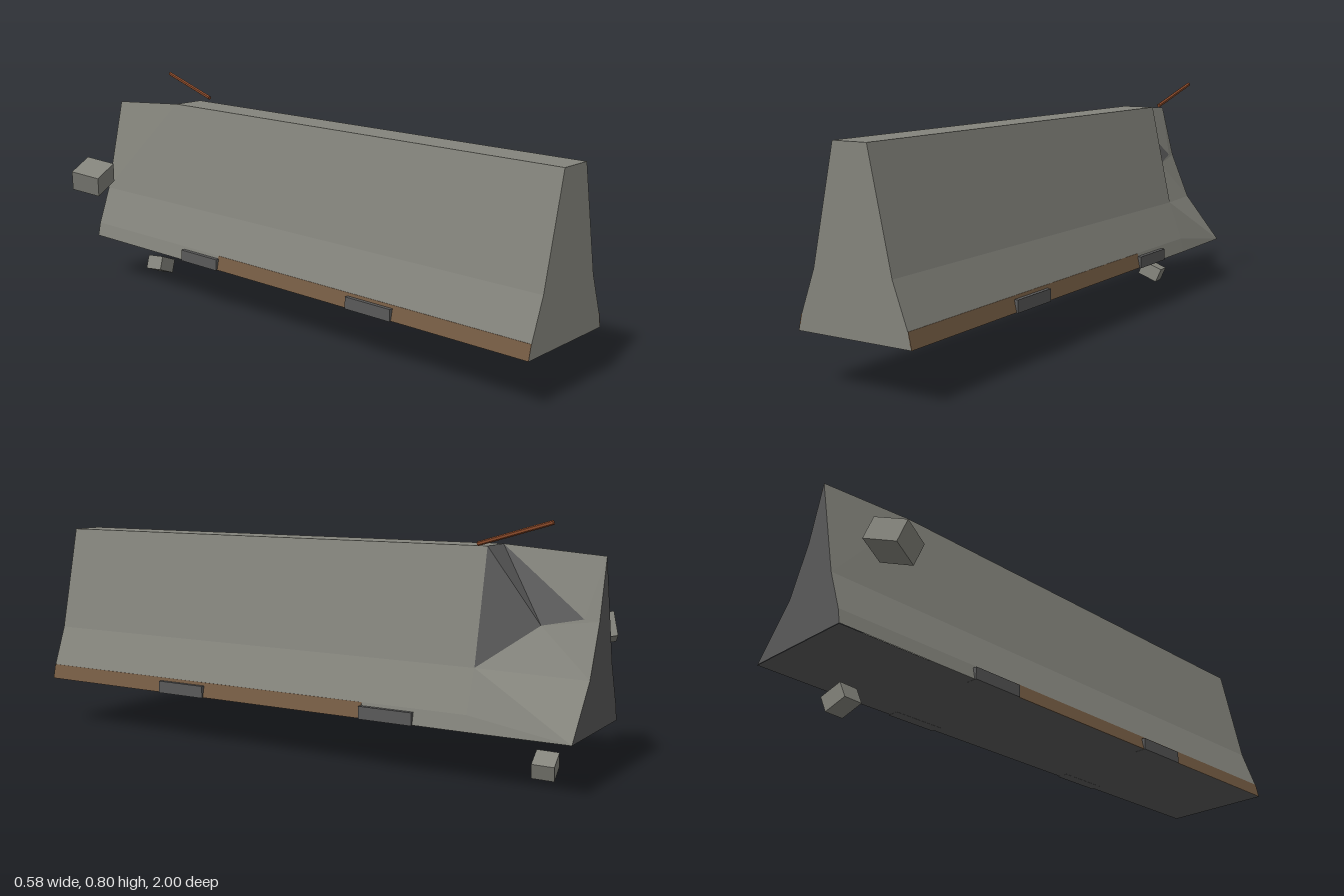
import * as THREE from 'three';

const mat = (name, color) => Object.assign(new THREE.MeshStandardMaterial({ color, flatShading: true }), { name });
const V = (...p) => new THREE.Vector3(...p);

// Flat-shaded surface from triangles of named corners
function facets(corners, triangles) {
  const points = triangles.flatMap((t) => t.split(' ').map((k) => V(...corners[k])));
  const geo = new THREE.BufferGeometry().setFromPoints(points);
  geo.computeVertexNormals();
  return geo;
}

function prism(points, z0, z1) {
  const shape = new THREE.Shape(points.map(([x, y]) => new THREE.Vector2(x, y)));
  return new THREE.ExtrudeGeometry(shape, { depth: z1 - z0, bevelEnabled: false }).translate(0, 0, z0);
}

export function createModel() {
  const group = new THREE.Group();
  const concrete = mat('concrete', 0x84847c);
  const darkGrey = mat('dark grey', 0x5a5a5a);
  const stain = mat('brown stain', 0x755c44);
  const rust = mat('rust', 0x8a4a2a);
  const add = (name, geo, material) => {
    const mesh = new THREE.Mesh(geo, material);
    mesh.name = name;
    group.add(mesh);
    return mesh;
  };

  // Intact length of the barrier
  const cx = 0.081, breakZ = -0.67;
  const half = [[0.2, 0.17], [0.189, 0.22], [0.139, 0.355], [0.06, 0.715]];
  const profile = [
    ...half.map(([x, y]) => [cx + x, y]),
    ...half.map(([x, y]) => [cx - x, y]).reverse(),
  ];
  add('barrierBody', prism(profile, breakZ, 1), concrete);

  // Broken end: outer skin, exposed core and end face share these corners
  const c = {
    A: [0.021, 0.715, breakZ], B: [0.141, 0.715, breakZ],
    C: [0.22, 0.355, breakZ], K: [0.27, 0.22, breakZ], D: [0.281, 0.17, breakZ],
    L2: [-0.058, 0.355, breakZ], L1: [-0.108, 0.22, breakZ], L0: [-0.119, 0.17, breakZ],
    P: [0.1, 0.48, -0.83], Q: [0.075, 0.505, -0.955],
    E0: [0.021, 0.69, -1], E1: [0.07, 0.5, -1], E2: [0.14, 0.335, -1], E3: [0.275, 0.17, -1],
    M2: [-0.058, 0.355, -1], M1: [-0.108, 0.22, -1], M0: [-0.119, 0.17, -1],
  };
  add('brokenEndSkin', facets(c, [
    'A Q E0', 'Q E1 E0', 'P E1 Q', 'P E2 E1', 'C E2 P', 'C E3 E2', 'C K E3', 'K D E3',
    'A E0 M2', 'A M2 L2', 'L2 M2 M1', 'L2 M1 L1', 'L1 M1 M0', 'L1 M0 L0',
  ]), concrete);
  add('exposedCore', facets(c, ['B P A', 'B C P', 'A P Q']), darkGrey);
  add('brokenEndFace', facets(c, ['M2 E0 E1', 'M2 E1 E2', 'M2 E2 E3', 'M2 E3 M1', 'M1 E3 M0']), darkGrey);

  // Dark underside along the whole length
  const base = 0.169;
  const u = {
    F0: [-0.119, base, 1], F1: [0.281, base, 1], D: [0.281, base, breakZ],
    E3: [0.275, base, -1], M0: [-0.119, base, -1],
  };
  add('underside', facets(u, ['F0 M0 E3', 'F0 E3 D', 'F0 D F1']), darkGrey);

  // Feet and stain strips along both lower edges
  for (const side of [1, -1]) {
    const label = side > 0 ? 'left' : 'right';
    for (const z of [0.4, -0.4]) {
      const foot = add(label + 'Foot', new THREE.BoxGeometry(0.04, 0.041, 0.187), darkGrey);
      foot.position.set(cx + side * 0.186, 0.189, z);
    }
    const strip = [[0.198, 0.17], [0.2012, 0.17], [0.1902, 0.22], [0.187, 0.22]]
      .map(([x, y]) => [cx + side * x, y]);
    add(label + 'StainStrip', prism(strip, -0.31, 1), stain);
  }

  // Loose chunks: centre, size, and directions of the box's x and y axes
  const chunk = (center, size, ax, up) => {
    const x = V(...ax).normalize();
    const z = x.clone().cross(V(...up)).normalize();
    const mesh = add('concreteChunk', new THREE.BoxGeometry(...size), concrete);
    mesh.quaternion.setFromRotationMatrix(new THREE.Matrix4().makeBasis(x, z.clone().cross(x), z));
    mesh.position.set(...center);
  };
  chunk([-0.206, 0.438, -0.9], [0.119, 0.079, 0.111], [0.106, 0.036, -0.04], [-0.017, 0.074, 0.0216]);
  chunk([0.064, 0.044, -0.842], [0.079, 0.054, 0.071], [0.072, -0.03, -0.0114], [0.021, 0.049, -0.0067]);

  // Bent-out reinforcing rod
  const path = new THREE.LineCurve3(V(0.175, 0.723, -0.653), V(0.184, 0.794, -0.893));
  const rod = add('reinforcingRod', new THREE.CylinderGeometry(0.0072, 0.0072, path.getLength(), 6), rust);
  rod.position.copy(path.getPoint(0.5));
  rod.quaternion.setFromUnitVectors(V(0, 1, 0), path.getTangent(0));

  return group;
}
